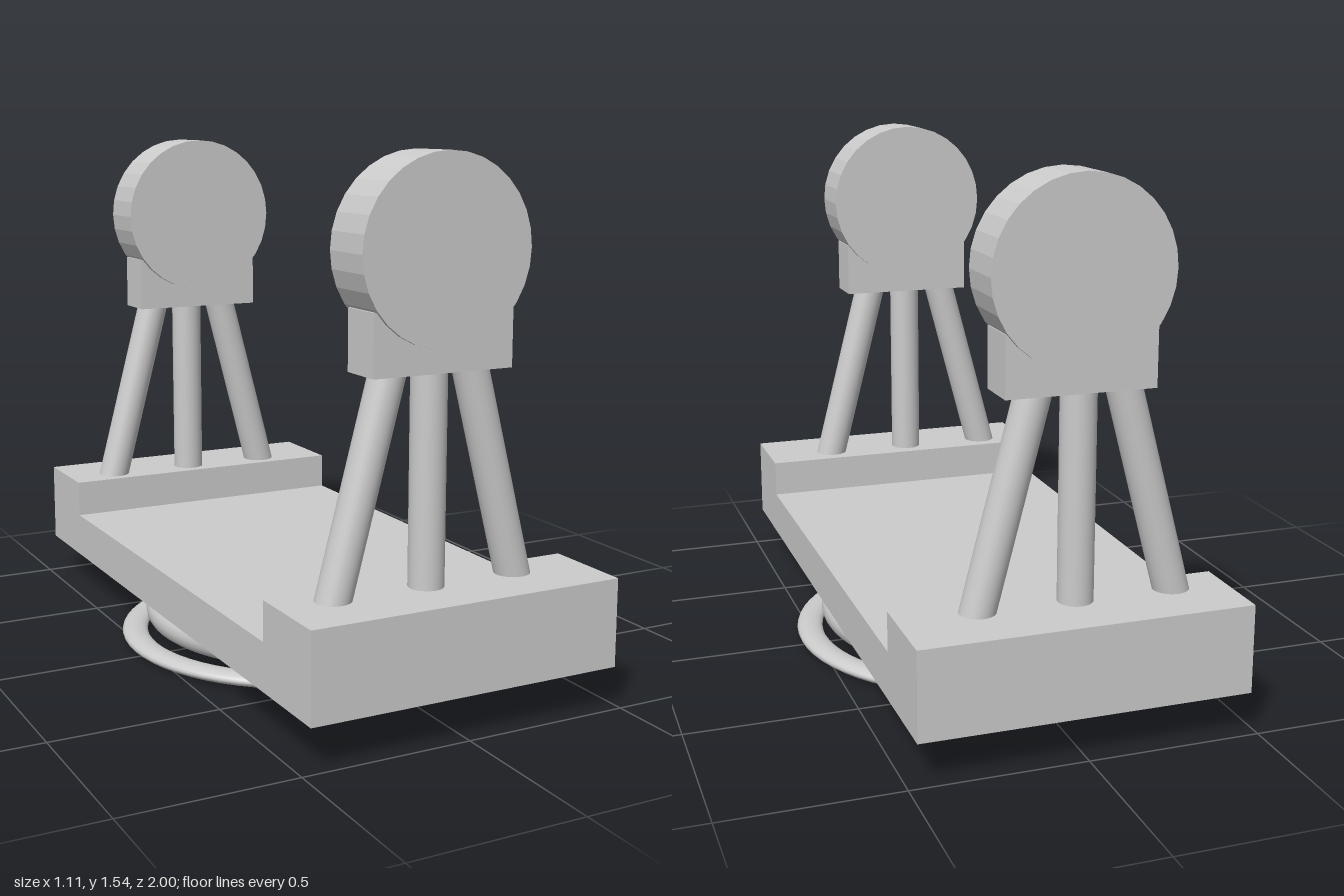
import * as THREE from 'three';

const smooth = new THREE.MeshStandardMaterial({ color: 0xcccccc });
const flat = new THREE.MeshStandardMaterial({ color: 0xcccccc, flatShading: true });

function add(parent, name, geometry, material, x, y, z) {
  const mesh = new THREE.Mesh(geometry, material);
  mesh.name = name;
  mesh.position.set(x, y, z);
  parent.add(mesh);
  return mesh;
}

// Round leg running between two points in the x-y plane
function addLeg(parent, name, x0, x1, y0, y1, z) {
  const length = Math.hypot(x1 - x0, y1 - y0);
  const leg = add(parent, name, new THREE.CylinderGeometry(0.05, 0.05, length, 32),
    smooth, (x0 + x1) / 2, (y0 + y1) / 2, z);
  leg.rotation.z = -Math.atan2(x1 - x0, y1 - y0);
}

// Horizontal ring with its own half widths in x and z and an elliptical section
function addRing(parent, name, rx, rz, tube, halfHeight, y) {
  const radius = rz - tube;
  const geometry = new THREE.TorusGeometry(radius, tube, 16, 64);
  geometry.rotateX(Math.PI / 2);
  geometry.scale(rx / rz, halfHeight / tube, 1);
  add(parent, name, geometry, smooth, 0, y, -0.01);
}

export function createModel() {
  const model = new THREE.Group();
  model.name = 'stand';

  // Long base plate
  add(model, 'basePlate', new THREE.BoxGeometry(0.95, 0.14, 2), flat, 0, 0.195, 0);

  // Matching supports at the front and back ends
  for (const side of [1, -1]) {
    const support = new THREE.Group();
    support.name = side > 0 ? 'frontSupport' : 'backSupport';
    model.add(support);

    add(support, 'endBlock', new THREE.BoxGeometry(0.95, 0.115, 0.272), flat, 0, 0.3225, side * 0.864);

    // Three legs: the outer pair leans inwards
    const z = side > 0 ? 0.817 : -0.81;
    addLeg(support, 'rightLeg', -0.325, -0.15, 0.34, 1.0, z);
    addLeg(support, 'middleLeg', -0.03, -0.03, 0.34, 1.0, z);
    addLeg(support, 'leftLeg', 0.26, 0.09, 0.34, 1.0, z);

    // Block that carries the disc
    add(support, 'headBlock', new THREE.BoxGeometry(0.425, 0.17, 0.135), flat,
      -0.018, 1.053, side > 0 ? 0.805 : -0.797);

    // Upright disc facing the ends
    const disc = new THREE.CylinderGeometry(0.256, 0.256, 0.17, 32);
    disc.rotateX(Math.PI / 2);
    add(support, 'disc', disc, flat, -0.016, 1.287, side > 0 ? 0.799 : -0.796);
  }

  // Foot rings beneath the plate
  addRing(model, 'upperRing', 0.475, 0.503, 0.046, 0.047, 0.085);
  addRing(model, 'lowerRing', 0.555, 0.555, 0.04, 0.02, 0.02);

  return model;
}
